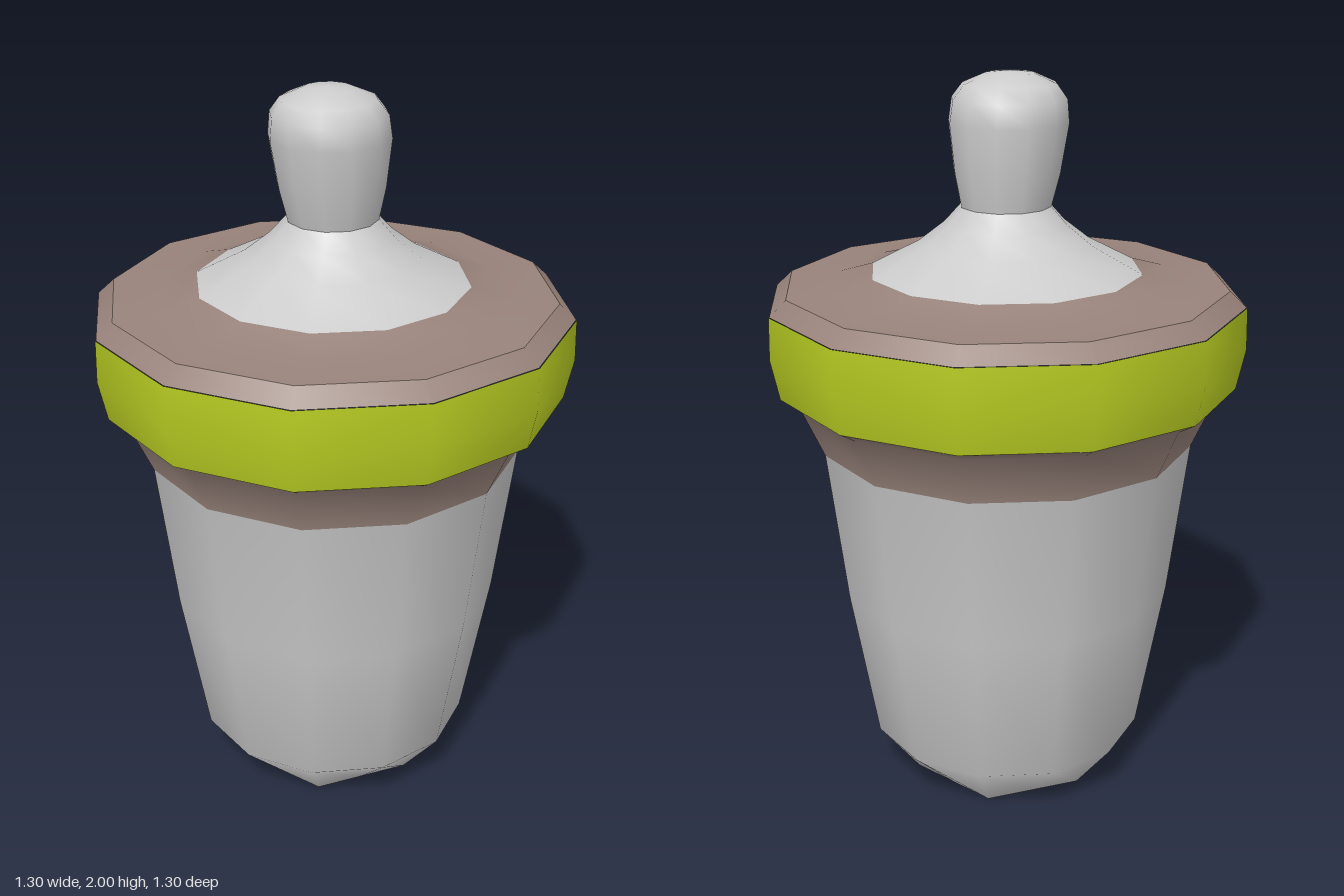
import * as THREE from 'three';

const SIDES = 12;
const GREY = 0xcccccc, BROWN = 0x98837b, GREEN = 0xb8cc22;

// Turned surface that keeps only the profile spans from..to, so that neighbouring
// colours cut from the same profile share smooth normals.
function turned(profile, from = 0, to = profile.length - 1) {
  const n = profile.length;
  const geometry = new THREE.LatheGeometry(profile.map(([r, y]) => new THREE.Vector2(r, y)), SIDES);
  const index = geometry.index.array;
  const kept = [];
  for (let s = 0; s < SIDES; s++) {
    for (let j = from; j < to; j++) {
      const start = (s * (n - 1) + j) * 6;
      for (let k = 0; k < 6; k++) kept.push(index[start + k]);
    }
  }
  geometry.setIndex(kept);
  return geometry;
}

export function createModel() {
  const group = new THREE.Group();
  const add = (name, geometry, color) => {
    const mesh = new THREE.Mesh(geometry, new THREE.MeshStandardMaterial({ color }));
    mesh.name = name;
    group.add(mesh);
    return mesh;
  };

  // Cup: grey body, with a brown flare under the band
  const cup = [[0.27, 0], [0.385, 0.145], [0.46, 0.58], [0.512, 1.01], [0.575, 1.15], [0.625, 1.18]];
  const body = turned(cup, 0, 3);
  // The foot narrows to a hexagon: every second bottom vertex sits mid-edge
  const pos = body.attributes.position;
  const inset = Math.cos(Math.PI / 6);
  for (let s = 1; s < SIDES; s += 2) {
    const i = s * cup.length;
    pos.setX(i, pos.getX(i) * inset);
    pos.setZ(i, pos.getZ(i) * inset);
  }
  add('cupBody', body, GREY);
  add('cupFlare', turned(cup, 3, 5), BROWN);
  const base = new THREE.CircleGeometry(0.27, 6, Math.PI / 2);
  base.rotateX(Math.PI / 2);
  add('cupBase', base, GREY);

  // Green band around the rim
  add('rimBand', turned([[0.625, 1.18], [0.648, 1.29], [0.645, 1.405]]), GREEN);

  // Lid: bevelled edge, brown shoulder and grey cone
  add('lidEdge', turned([[0.643, 1.405], [0.598, 1.447]]), BROWN);
  const lid = [[0.598, 1.447], [0.46, 1.453], [0.367, 1.48], [0.235, 1.55], [0.165, 1.605], [0.122, 1.653]];
  add('lidShoulder', turned(lid, 0, 2), BROWN);
  add('lidCone', turned(lid, 2, 5), GREY);

  // Knob, leaning slightly to one side
  const knob = turned([
    [0.122, 1.653], [0.142, 1.74], [0.16, 1.87], [0.153, 1.93], [0.125, 1.967], [0.065, 1.993], [0, 2],
  ]);
  knob.applyMatrix4(new THREE.Matrix4().makeShear(0, 0, -0.05, 0, 0, 0));
  knob.translate(0.05 * 1.653, 0, 0);
  add('knob', knob, GREY);

  return group;
}
